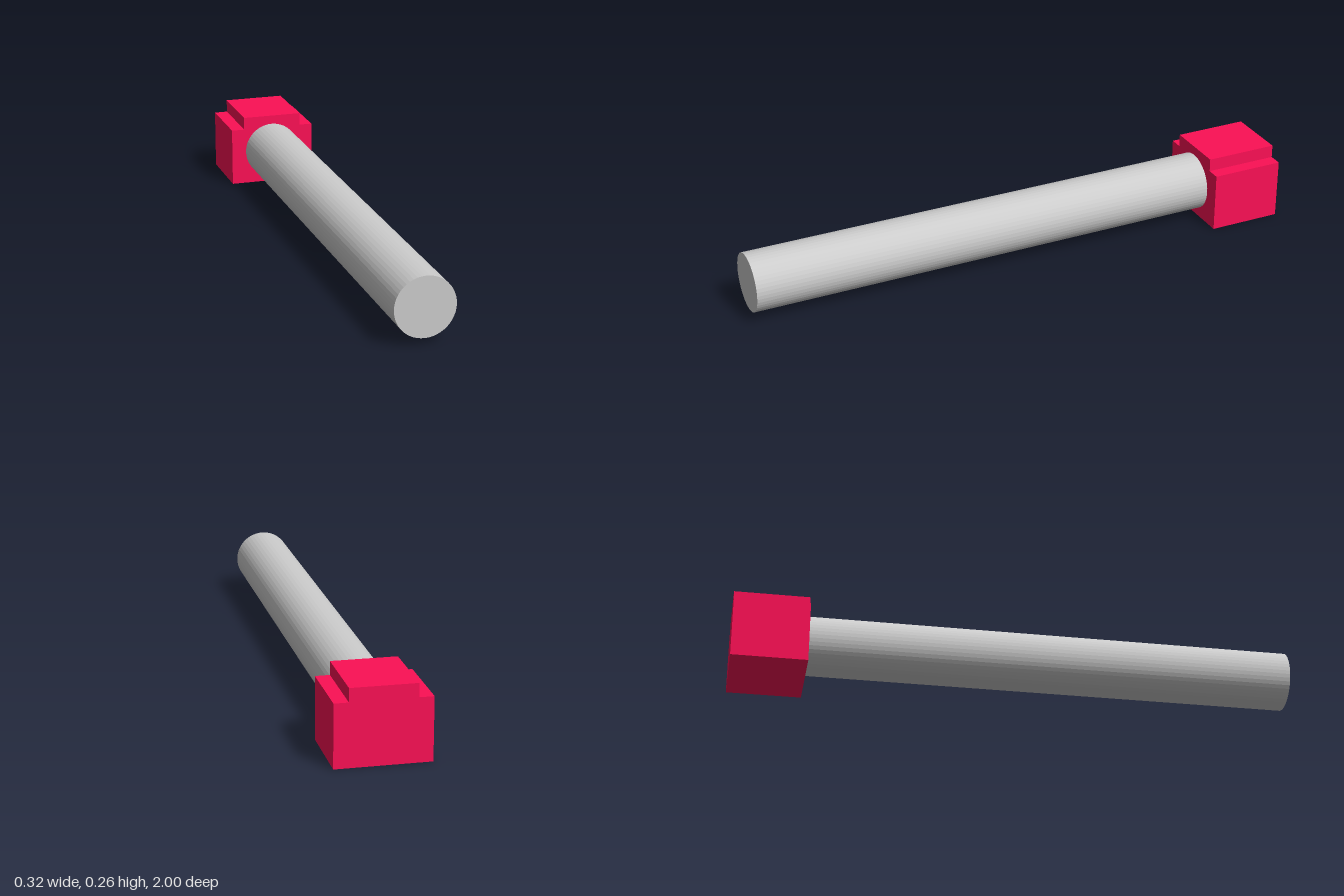
import * as THREE from 'three';

const FRONT = 1, BACK = -1, HEAD_FRONT = -0.735;

export function createModel() {
  const group = new THREE.Group();
  const red = new THREE.MeshStandardMaterial({ color: 0xfc1055, flatShading: true });
  const grey = new THREE.MeshStandardMaterial({ color: 0xcccccc, flatShading: true });

  // Head: block with a narrower raised step on top, extruded along z
  const half = [[0.161, 0], [0.161, 0.217], [0.112, 0.217], [0.112, 0.264]];
  const mirrored = half.map(([x, y]) => [-x, y]).reverse();
  const profile = new THREE.Shape([...half, ...mirrored].map(([x, y]) => new THREE.Vector2(x, y)));
  const headGeometry = new THREE.ExtrudeGeometry(profile, { depth: HEAD_FRONT - BACK, bevelEnabled: false });
  const head = new THREE.Mesh(headGeometry, red);
  head.name = 'head';
  head.position.z = BACK;

  // Shaft: long round bar, set slightly into the head
  const shaftBack = HEAD_FRONT - 0.01;
  const shaftGeometry = new THREE.CylinderGeometry(0.1045, 0.1045, FRONT - shaftBack, 48);
  shaftGeometry.rotateX(Math.PI / 2);
  const shaft = new THREE.Mesh(shaftGeometry, grey);
  shaft.name = 'shaft';
  shaft.position.set(-0.0015, 0.1265, (FRONT + shaftBack) / 2);

  group.add(head, shaft);
  return group;
}
